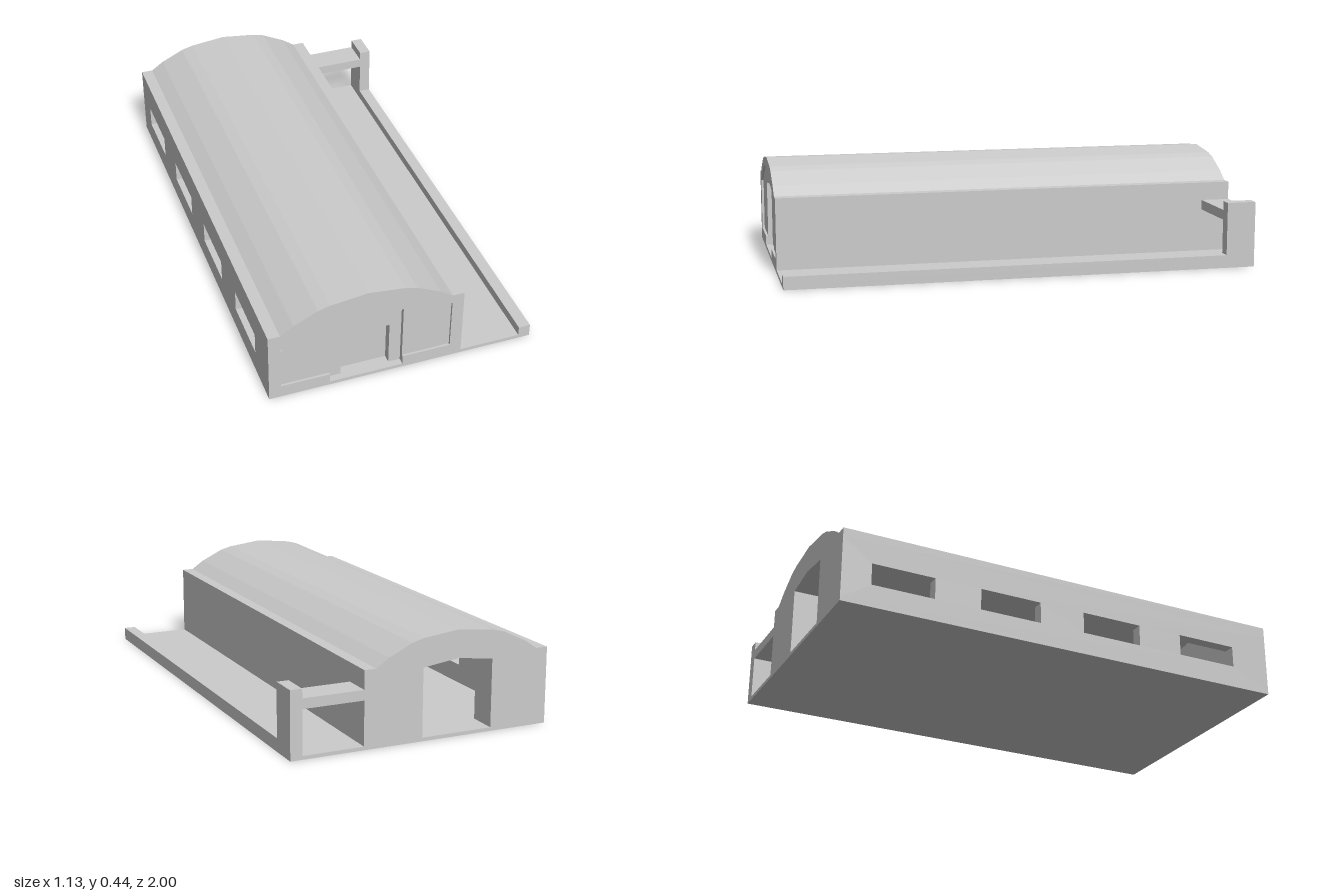
import * as THREE from 'three';

const CX = -0.155; // hall centre line
const FLOOR = 0.015;
// right half of the vault: offset from the centre line, outer height
const VAULT = [[0, 0.436], [0.155, 0.418], [0.205, 0.405], [0.305, 0.357], [0.36, 0.32]];
const mat = new THREE.MeshStandardMaterial({ color: 0xcccccc, flatShading: true });

// full vault line from -x to +x, lowered by drop
function vaultLine(drop) {
  const left = VAULT.slice(1).reverse().map(([d, y]) => [CX - d, y - drop]);
  return [...left, ...VAULT.map(([d, y]) => [CX + d, y - drop])];
}

const toShape = (pts) => new THREE.Shape(pts.map(([x, y]) => new THREE.Vector2(x, y)));

// extrudes a cross-section between two z positions
function slab(name, pts, z0, z1) {
  const geo = new THREE.ExtrudeGeometry(toShape(pts), { depth: z1 - z0, bevelEnabled: false });
  geo.translate(0, 0, z0);
  const mesh = new THREE.Mesh(geo, mat);
  mesh.name = name;
  return mesh;
}

// box given by its limits
function block(name, x0, x1, y0, y1, z0, z1) {
  const mesh = new THREE.Mesh(new THREE.BoxGeometry(x1 - x0, y1 - y0, z1 - z0), mat);
  mesh.position.set((x0 + x1) / 2, (y0 + y1) / 2, (z0 + z1) / 2);
  mesh.name = name;
  return mesh;
}

// end-wall section under the vault, with an optional gabled doorway
function endSection(door) {
  const pts = [[-0.515, FLOOR], ...vaultLine(0.04), [0.205, FLOOR]];
  if (door) {
    const { x0, x1, eave, peak } = door;
    pts.push([x1, FLOOR], [x1, eave], [(x0 + x1) / 2, peak], [x0, eave], [x0, FLOOR]);
  }
  return pts;
}

export function createModel() {
  const model = new THREE.Group();
  model.name = 'hall';
  const bigDoor = { x0: -0.31, x1: 0, eave: 0.3, peak: 0.32 };
  const smallDoor = { x0: -0.255, x1: -0.05, eave: 0.214, peak: 0.226 };

  // ground slab under hall and side platform
  model.add(block('floorSlab', -0.565, 0.565, 0, FLOOR, -1, 1));

  // vaulted roof together with the closed long wall
  model.add(slab('roofAndPlainWall', [
    [-0.565, 0.28], [-0.565, 0.32], ...vaultLine(0), [0.255, 0.32], [0.255, FLOOR],
    [0.205, FLOOR], ...vaultLine(0.04).reverse(),
  ], -1, 1));

  // long wall with four windows
  const wall = toShape([[-1, FLOOR], [1, FLOOR], [1, 0.28], [-1, 0.28]]);
  for (let i = 0; i < 4; i++) {
    const z = -0.738 + i * 0.475;
    const hole = new THREE.Path();
    hole.moveTo(z - 0.136, 0.097).lineTo(z - 0.136, 0.19);
    hole.lineTo(z + 0.136, 0.19).lineTo(z + 0.136, 0.097).closePath();
    wall.holes.push(hole);
  }
  const wallGeo = new THREE.ExtrudeGeometry(wall, { depth: 0.05, bevelEnabled: false });
  wallGeo.rotateY(-Math.PI / 2).translate(-0.515, 0, 0);
  const windowWall = new THREE.Mesh(wallGeo, mat);
  windowWall.name = 'windowWall';
  model.add(windowWall);
  model.add(block('wallLedge', -0.515, -0.508, 0.205, 0.242, -0.875, 1));

  // open back gate
  model.add(slab('backWall', endSection(bigDoor), -1, -0.875));

  // front wall stepping inwards to a closed door
  model.add(slab('frontPanel', endSection(bigDoor), 0.97, 0.99));
  model.add(slab('frontDoorSurround', endSection(smallDoor), 0.935, 0.97));
  model.add(slab('frontDoor', endSection(), 0.875, 0.935));
  model.add(block('frontPlinthRight', -0.515, -0.31, FLOOR, 0.055, 0.99, 1));
  model.add(block('frontPlinthLeft', 0, 0.205, FLOOR, 0.055, 0.99, 1));

  // side platform: kerb, pier and lintel
  model.add(block('platformKerb', 0.515, 0.565, FLOOR, 0.055, -0.875, 1));
  model.add(block('platformPier', 0.515, 0.565, FLOOR, 0.28, -1, -0.875));
  model.add(block('platformLintel', 0.255, 0.515, 0.2, 0.242, -1, -0.875));

  return model;
}
